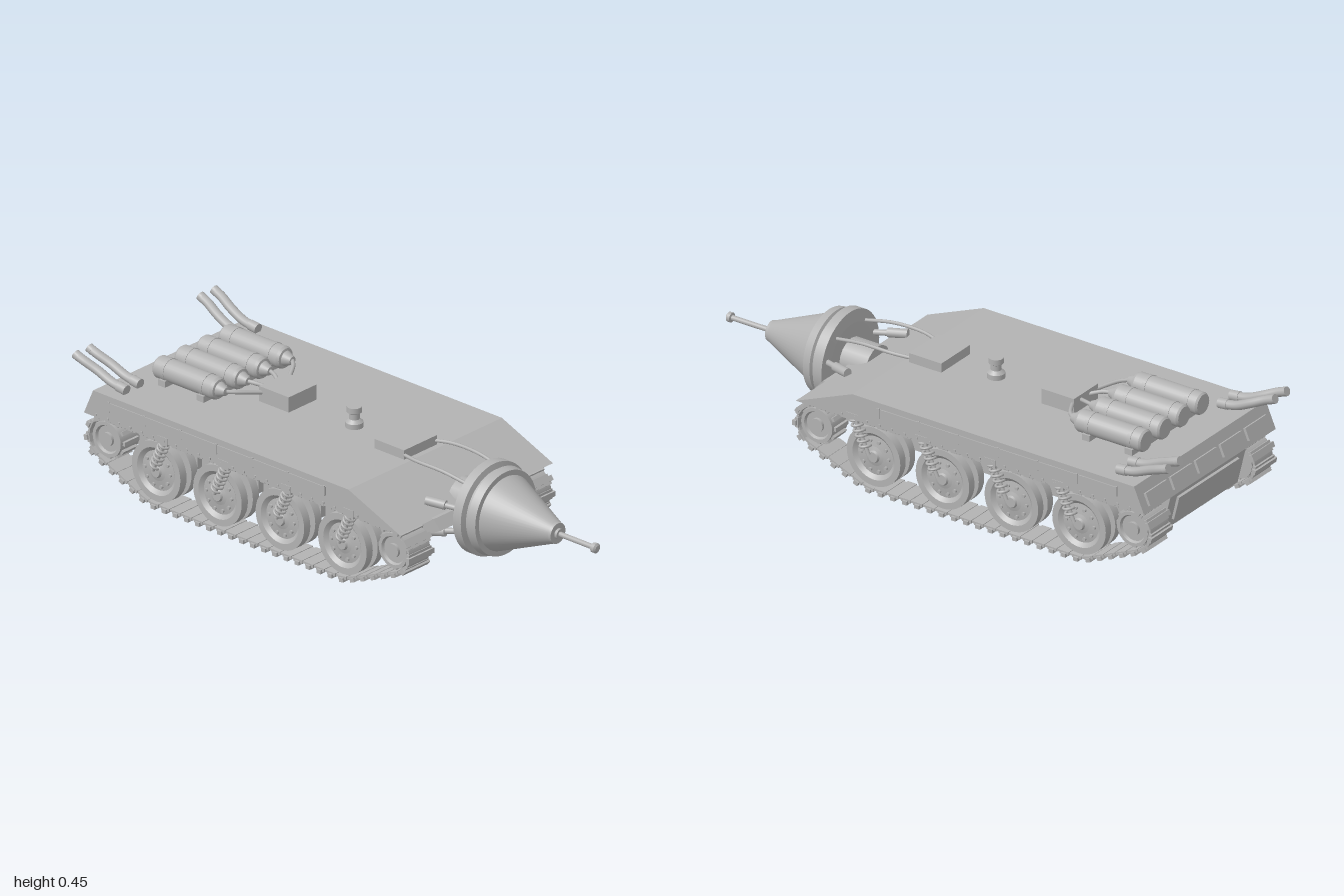
import * as THREE from 'three';

const steel = new THREE.MeshStandardMaterial({ color: 0xb2b2b2 });
steel.name = 'steel grey';
const V = (x, y, z) => new THREE.Vector3(x, y, z);

function add(parent, name, geo, x = 0, y = 0, z = 0) {
  const mesh = new THREE.Mesh(geo, steel);
  mesh.name = name;
  mesh.position.set(x, y, z);
  parent.add(mesh);
  return mesh;
}
const box = (p, name, w, h, d, x, y, z) => add(p, name, new THREE.BoxGeometry(w, h, d), x, y, z);

// Rod between two points
function rod(p, name, a, b, r, r2 = r) {
  const m = add(p, name, new THREE.CylinderGeometry(r2, r, a.distanceTo(b), 16));
  m.position.copy(a).lerp(b, 0.5);
  m.quaternion.setFromUnitVectors(V(0, 1, 0), b.clone().sub(a).normalize());
  return m;
}
const tube = (p, name, pts, r, n = 16) =>
  add(p, name, new THREE.TubeGeometry(new THREE.CatmullRomCurve3(pts), n, r, 10));

// Turned part with crisp edges: each profile segment keeps its own normals
function turned(p, name, profile, segs = 40) {
  const g = new THREE.Group();
  g.name = name;
  for (let i = 0; i < profile.length - 1; i++) {
    const pair = [profile[i], profile[i + 1]].map(([r, h]) => new THREE.Vector2(r, h));
    add(g, name + 'Section', new THREE.LatheGeometry(pair, segs));
  }
  p.add(g);
  return g;
}

// Side profile extruded across the full width
function slab(p, name, pts, halfWidth) {
  const shape = new THREE.Shape(pts.map(([x, y]) => new THREE.Vector2(x, y)));
  const geo = new THREE.ExtrudeGeometry(shape, { depth: halfWidth * 2, bevelEnabled: false });
  return add(p, name, geo, 0, 0, -halfWidth);
}

// Closed belt line around four circles, given counterclockwise
function beltLine(circles, offset, PathType) {
  const c = circles.map(([x, y, r]) => [x, y, r + offset]);
  const n = c.length;
  const normals = c.map(([x, y, r], i) => {
    const [x2, y2, r2] = c[(i + 1) % n];
    return Math.atan2(y2 - y, x2 - x) - Math.acos((r - r2) / Math.hypot(x2 - x, y2 - y));
  });
  const path = new PathType();
  c.forEach(([x, y, r], i) => path.absarc(x, y, r, normals[(i + n - 1) % n], normals[i], false));
  path.closePath();
  return path;
}

const WHEELS = [-0.64, -0.37, -0.095, 0.18];
const TRACK_Z = 0.293;

function buildTrack(root, side) {
  const g = new THREE.Group();
  g.name = side > 0 ? 'leftTrack' : 'rightTrack';
  root.add(g);
  const circles = [[-0.64, 0.13, 0.115], [0.18, 0.13, 0.115], [0.405, 0.178, 0.074], [-0.855, 0.178, 0.074]];
  const band = beltLine(circles, 0.004, THREE.Shape);
  band.holes.push(beltLine(circles, -0.004, THREE.Path));
  add(g, 'trackBand', new THREE.ExtrudeGeometry(band, { depth: 0.1, bevelEnabled: false, curveSegments: 16 }),
    0, 0, side * TRACK_Z - 0.05);

  // Links with raised cleats
  const line = beltLine(circles, 0, THREE.Path);
  const links = 62;
  const plate = new THREE.BoxGeometry(0.036, 0.012, 0.108);
  const cleat = new THREE.BoxGeometry(0.018, 0.014, 0.122);
  for (let i = 0; i < links; i++) {
    const a = line.getPointAt(i / links), b = line.getPointAt((i + 0.3) / links);
    const turn = Math.atan2(b.y - a.y, b.x - a.x);
    add(g, 'trackLink', plate, a.x, a.y, side * TRACK_Z).rotation.z = turn;
    add(g, 'trackCleat', cleat, a.x + Math.sin(turn) * 0.006, a.y - Math.cos(turn) * 0.006, side * TRACK_Z).rotation.z = turn;
  }

  // Road wheels: paired discs with rim, dish and hub
  const disc = [[0, 0.047], [0.018, 0.047], [0.022, 0.04], [0.035, 0.036], [0.07, 0.03], [0.084, 0.042], [0.107, 0.042],
    [0.107, 0.012], [0.08, 0.01], [0.08, -0.01], [0.107, -0.012], [0.107, -0.042], [0.084, -0.042], [0.07, -0.03], [0, -0.036]];
  for (const x of WHEELS) {
    const w = turned(g, 'roadWheel', disc.slice().reverse(), 36);
    w.rotation.x = side * Math.PI / 2;
    w.position.set(x, 0.13, side * TRACK_Z);
    for (let k = 0; k < 10; k++) {
      const a = k * Math.PI / 5;
      rod(w, 'wheelBolt', V(Math.cos(a) * 0.055, 0.028, Math.sin(a) * 0.055), V(Math.cos(a) * 0.055, 0.04, Math.sin(a) * 0.055), 0.006);
    }
    rod(g, 'axle', V(x, 0.13, side * 0.2), V(x, 0.13, side * 0.26), 0.03);
    box(g, 'swingArm', 0.12, 0.05, 0.025, x + 0.03, 0.155, side * 0.222);

    // Coil spring leaning from hub to fender
    const low = V(x + 0.005, 0.145, side * 0.356), high = V(x + 0.06, 0.265, side * 0.356);
    rod(g, 'springRod', low, high, 0.007);
    const dir = high.clone().sub(low).normalize(), across = V(dir.y, -dir.x, 0);
    const coil = [];
    for (let k = 0; k <= 72; k++) {
      const a = k / 12 * Math.PI * 2;
      coil.push(low.clone().lerp(high, 0.15 + 0.85 * k / 72)
        .addScaledVector(across, Math.cos(a) * 0.017).add(V(0, 0, Math.sin(a) * 0.017)));
    }
    tube(g, 'coilSpring', coil, 0.0045, 110);
    box(g, 'springMount', 0.045, 0.03, 0.012, x + 0.06, 0.272, side * 0.367);
  }

  // Toothed end wheels
  for (const x of [-0.855, 0.405]) {
    const w = turned(g, 'endWheel', [[0, -0.045], [0.062, -0.045], [0.062, 0.045], [0.05, 0.045], [0.045, 0.036],
      [0.024, 0.036], [0.024, 0.046], [0, 0.046]], 28);
    w.rotation.x = side * Math.PI / 2;
    w.position.set(x, 0.178, side * TRACK_Z);
    for (let k = 0; k < 12; k++) {
      const a = k * Math.PI / 6;
      box(w, 'tooth', 0.016, 0.07, 0.014, Math.cos(a) * 0.063, 0, Math.sin(a) * 0.063).rotation.y = -a;
    }
    rod(g, 'endAxle', V(x, 0.178, side * 0.2), V(x, 0.178, side * 0.26), 0.022);
  }
}

function buildDrill(root) {
  const drill = turned(root, 'drillHead', [[0, 0.505], [0.12, 0.505], [0.163, 0.51], [0.163, 0.545], [0.143, 0.55], [0.143, 0.56],
    [0.153, 0.565], [0.148, 0.595], [0.13, 0.595], [0.038, 0.815], [0.036, 0.825], [0.018, 0.825], [0.018, 0.835],
    [0.009, 0.835], [0.009, 0.98], [0.017, 0.982], [0.017, 0.995], [0.01, 1], [0, 1]], 48);
  drill.rotation.z = -Math.PI / 2;
  drill.position.y = 0.256;
  rod(root, 'drillShaft', V(0.4, 0.256, 0), V(0.51, 0.256, 0), 0.07);
  for (const s of [1, -1]) {
    for (const [y, y2] of [[0.3, 0.29], [0.19, 0.21]]) {
      rod(root, 'ramSleeve', V(0.4, y, s * 0.17), V(0.465, (y + y2) / 2, s * 0.148), 0.016);
      rod(root, 'ramPiston', V(0.45, (y + y2) / 2, s * 0.152), V(0.51, y2, s * 0.13), 0.01);
    }
    tube(root, 'drillHose', [V(0.2, 0.37, s * 0.07), V(0.28, 0.376, s * 0.09), V(0.4, 0.375, s * 0.09), V(0.515, 0.355, s * 0.08)], 0.006);
  }
}

export function createModel() {
  const root = new THREE.Group();
  root.name = 'drillTank';

  // Hull
  slab(root, 'upperHull', [[-0.925, 0.265], [0.465, 0.265], [0.24, 0.357], [-0.885, 0.357]], 0.371);
  slab(root, 'lowerHull', [[-0.885, 0.125], [0.28, 0.125], [0.5, 0.235], [0.47, 0.268], [-0.92, 0.268]], 0.212);
  for (const s of [1, -1]) {
    box(root, 'sideRail', 0.96, 0.03, 0.004, -0.34, 0.32, s * 0.372);
    for (let i = 0; i < 7; i++) box(root, 'railClamp', 0.008, 0.036, 0.008, -0.815 + i * 0.158, 0.32, s * 0.371);
    for (let i = 0; i < 24; i++) box(root, 'fenderRivet', 0.007, 0.007, 0.006, -0.87 + i * 0.05, 0.275, s * 0.371);
  }
  for (let i = 0; i < 5; i++) box(root, 'rearPanel', 0.01, 0.045, 0.12, -0.915, 0.305, -0.28 + i * 0.14).rotation.z = -0.41;
  box(root, 'rearDoor', 0.012, 0.09, 0.34, -0.907, 0.2, 0).rotation.z = 0.24;

  buildTrack(root, 1);
  buildTrack(root, -1);
  buildDrill(root);

  // Exhaust pipes
  for (const s of [1, -1]) for (const z of [0.252, 0.318]) {
    tube(root, 'exhaustPipe', [V(-0.79, 0.37, s * z), V(-0.85, 0.38, s * z), V(-0.91, 0.405, s * (z + 0.004)),
      V(-0.96, 0.427, s * (z + 0.014)), V(-0.995, 0.44, s * (z + 0.016))], 0.016, 24);
    rod(root, 'exhaustCollar', V(-0.785, 0.37, s * z), V(-0.82, 0.374, s * z), 0.018);
    rod(root, 'exhaustTip', V(-0.98, 0.434, s * (z + 0.016)), V(-0.996, 0.441, s * (z + 0.016)), 0.016);
  }

  // Gas bottles feeding the control box
  for (const z of [-0.16, -0.053, 0.053, 0.16]) {
    const bottle = turned(root, 'gasBottle', [[0, -0.785], [0.034, -0.785], [0.039, -0.778], [0.039, -0.53], [0.034, -0.52],
      [0.026, -0.518], [0.014, -0.49], [0, -0.488]], 28);
    bottle.rotation.z = -Math.PI / 2;
    bottle.position.set(0, 0.404, z);
    for (const x of [-0.74, -0.57]) {
      rod(root, 'bottleStrap', V(x - 0.007, 0.404, z), V(x + 0.007, 0.404, z), 0.041);
      box(root, 'bottleCradle', 0.03, 0.024, 0.078, x, 0.367, z);
    }
    tube(root, 'feedHose', [V(-0.49, 0.404, z), V(-0.465, 0.402, z * 0.85), V(-0.42, 0.39, z * 0.38)], 0.007, 10);
  }
  box(root, 'controlBox', 0.13, 0.055, 0.134, -0.365, 0.384, 0);
  box(root, 'drillPowerBox', 0.13, 0.035, 0.16, 0.155, 0.373, 0);

  // Periscope
  turned(root, 'periscope', [[0.03, 0.355], [0.03, 0.375], [0.018, 0.386], [0.018, 0.405], [0.025, 0.41], [0.025, 0.43], [0, 0.43]], 24)
    .position.x = -0.072;
  return root;
}
